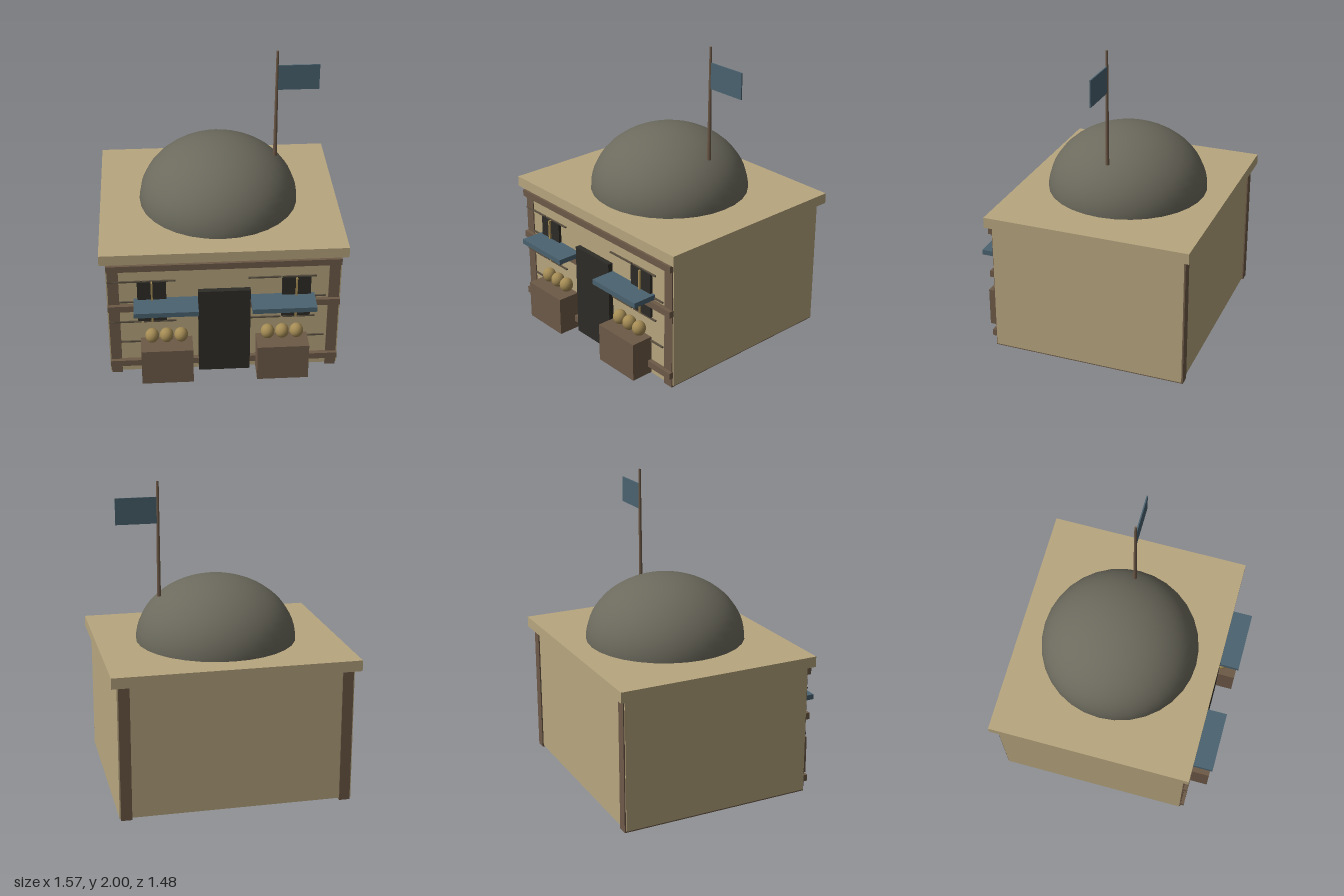
import * as THREE from 'three';

const material = (color) => new THREE.MeshStandardMaterial({ color });

export function createModel() {
  const model = new THREE.Group();
  const plaster = material(0xb8a67f);
  const wood = material(0x6e5a48);
  const dark = material(0x2e2c27);
  const stone = material(0x6c6a5d);
  const cloth = material(0x4b6370);
  const straw = material(0xa58c55);
  const crack = material(0x5c5142);
  const centreZ = -0.065;

  const add = (name, geometry, mat, x, y, z) => {
    const mesh = new THREE.Mesh(geometry, mat);
    mesh.name = name;
    mesh.position.set(x, y, z);
    model.add(mesh);
    return mesh;
  };
  // Box given by its limits on each axis
  const box = (name, mat, [x0, x1], [y0, y1], [z0, z1]) =>
    add(name, new THREE.BoxGeometry(x1 - x0, y1 - y0, z1 - z0), mat,
      (x0 + x1) / 2, (y0 + y1) / 2, (z0 + z1) / 2);

  // House body, roof slab and dome
  box('walls', plaster, [-0.75, 0.75], [0.012, 0.88], [-0.702, 0.573]);
  box('roofSlab', plaster, [-0.787, 0.787], [0.88, 0.95], [-0.742, 0.61]);
  const dome = add('dome',
    new THREE.SphereGeometry(0.525, 32, 16, 0, Math.PI * 2, 0, Math.PI / 2),
    stone, 0, 0.95, centreZ);
  dome.scale.y = 0.8;

  // Horizontal timbers across the front
  for (const y of [0.09, 0.53, 0.84])
    box('frontBeam', wood, [-0.747, 0.747], [y - 0.022, y + 0.022], [0.56, 0.603]);

  // Door
  box('door', dark, [-0.168, 0.168], [0.015, 0.65], [0.56, 0.608]);

  for (const side of [-1, 1]) {
    const span = (centre, width) => [side * centre - width / 2, side * centre + width / 2];

    // Corner posts run through the full depth
    box('cornerPost', wood, span(0.707, 0.07), [0, 0.88], [-0.71, 0.58]);

    // Window with mullion
    box('window', dark, span(0.463, 0.185), [0.425, 0.727], [0.56, 0.592]);
    box('windowMullion', straw, span(0.463, 0.012), [0.425, 0.727], [0.56, 0.605]);

    // Awning and market stall
    box('awning', cloth, span(0.375, 0.41), [0.56, 0.594], [0.57, 0.74]);
    box('stall', wood, span(0.375, 0.335), [0.015, 0.275], [0.57, 0.725]);

    // Round goods on the stall
    for (const offset of [-0.094, 0, 0.094]) {
      const fruit = add('fruit', new THREE.SphereGeometry(0.045, 16, 12), straw,
        side * 0.375 + offset, 0.322, 0.612);
      fruit.scale.y = 1.1;
    }
  }

  // Masonry joints on the front wall
  const rows = [
    [0.727, [-0.64, -0.415, 0.26, 0.485]],
    [0.57, [-0.567, 0.55]],
    [0.412, [-0.64, -0.415, 0.26, 0.485]],
    [0.252, [-0.567, 0.55]],
  ];
  for (const [y, centres] of rows)
    for (const x of centres)
      box('wallJoint', crack, [x - 0.105, x + 0.105], [y - 0.005, y + 0.005], [0.565, 0.583]);

  // Flagpole and flag
  add('flagpole', new THREE.CylinderGeometry(0.008, 0.013, 0.75, 8), wood, 0.375, 1.625, centreZ);
  box('flag', cloth, [0.38, 0.648], [1.73, 1.9], [centreZ - 0.004, centreZ + 0.004]);

  return model;
}
